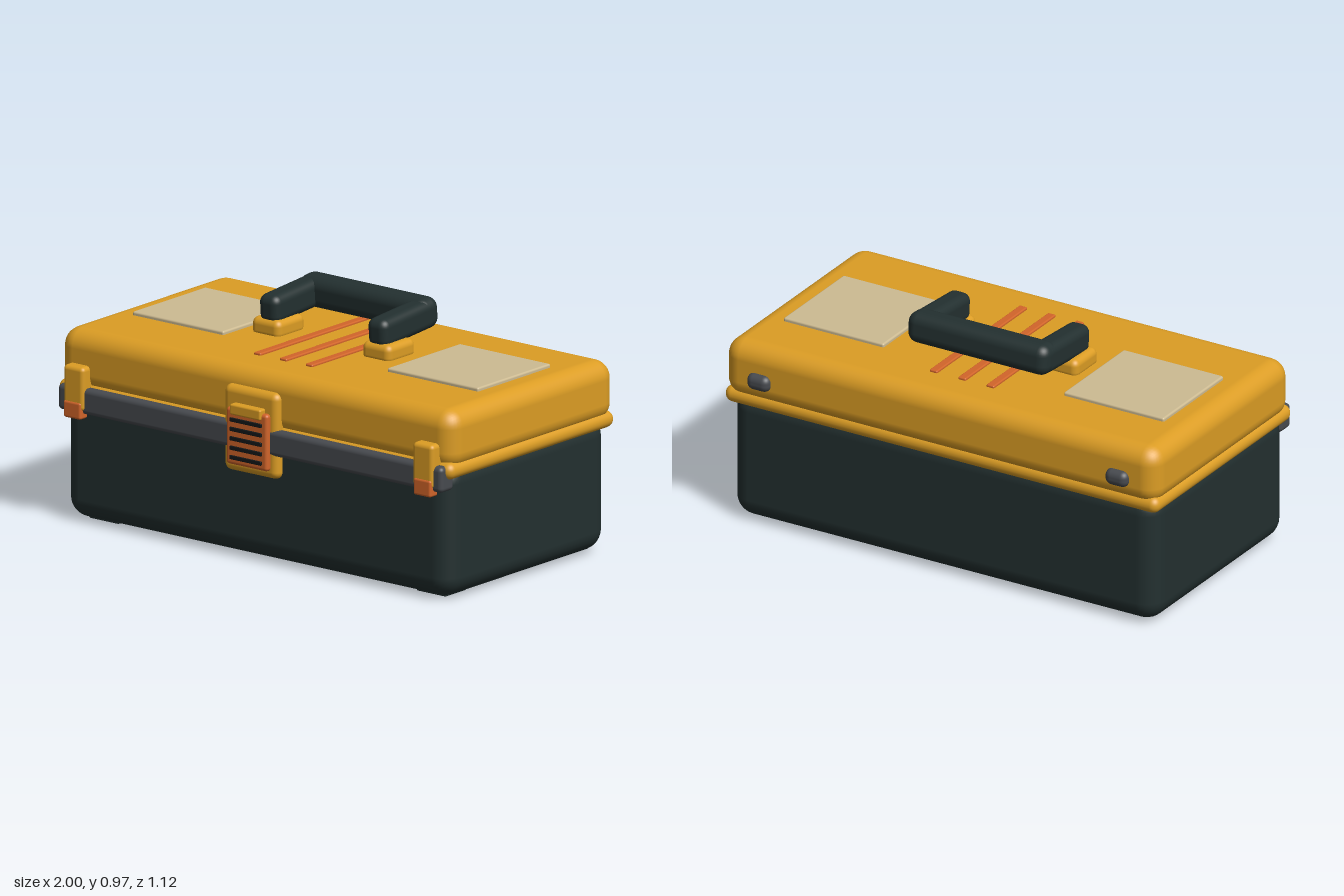
import * as THREE from 'three';
import { RoundedBoxGeometry } from 'three/addons/geometries/RoundedBoxGeometry.js';

const mat = (name, color) => {
  const m = new THREE.MeshStandardMaterial({ color });
  m.name = name;
  return m;
};

export function createModel() {
  const yellow = mat('yellow plastic', 0xdc9d24);
  const dark = mat('dark green plastic', 0x233030);
  const grey = mat('grey plastic', 0x474a4f);
  const orange = mat('orange plastic', 0xd2652a);
  const beige = mat('beige panel', 0xcdbb92);
  const black = mat('black slot', 0x141819);

  const model = new THREE.Group();
  model.name = 'toolbox';

  // Rounded block given by its [min, max] extents along each axis
  const block = (name, material, [x0, x1], [y0, y1], [z0, z1], radius, parent = model) => {
    const geometry = new RoundedBoxGeometry(x1 - x0, y1 - y0, z1 - z0, 4, radius);
    const mesh = new THREE.Mesh(geometry, material);
    mesh.name = name;
    mesh.position.set((x0 + x1) / 2, (y0 + y1) / 2, (z0 + z1) / 2);
    parent.add(mesh);
    return mesh;
  };
  // Extents along x centred on c
  const around = (c, width) => [c - width / 2, c + width / 2];

  // Case
  block('body', dark, [-0.98, 0.98], [0.008, 0.56], [-0.51, 0.495], 0.085);
  block('rim', yellow, [-1, 1], [0.505, 0.574], [-0.528, 0.508], 0.034);
  block('lid', yellow, [-1, 1], [0.535, 0.783], [-0.534, 0.501], 0.075);
  block('frontBand', grey, [-0.975, 0.975], [0.457, 0.563], [0.45, 0.534], 0.02);

  // Lid top: orange ribs and pale panels
  for (const x of [-0.131, 0, 0.131]) {
    block('lidRib', orange, around(x, 0.036), [0.765, 0.793], [-0.36, 0.323], 0.006);
  }

  // Paired parts
  for (const side of [-1, 1]) {
    block('lidPanel', beige, around(side * 0.646, 0.462), [0.76, 0.798], [-0.27, 0.184], 0.008);
    block('foot', dark, around(side * 0.83, 0.15), [0, 0.03], [0.29, 0.42], 0.006);
    block('hinge', grey, around(side * 0.826, 0.104), [0.603, 0.672], [-0.562, -0.48], 0.03);
    block('cornerClip', yellow, around(side * 0.886, 0.104), [0.47, 0.65], [0.46, 0.545], 0.018);
    block('clipTab', orange, around(side * 0.888, 0.088), [0.437, 0.507], [0.5, 0.55], 0.01);
  }

  // Centre latch with slotted grip
  block('latchPlate', yellow, [-0.138, 0.138], [0.36, 0.712], [0.44, 0.53], 0.03);
  block('latchGrip', orange, [-0.105, 0.105], [0.395, 0.628], [0.5, 0.552], 0.014);
  block('latchHook', yellow, [-0.078, 0.078], [0.602, 0.646], [0.52, 0.562], 0.008);
  for (let i = 0; i < 5; i++) {
    block('latchSlot', black, [-0.08, 0.08], around(0.427 + i * 0.0385, 0.017), [0.551, 0.559], 0.003);
  }

  // Carrying handle, tipped slightly up at the back
  const offset = -0.018;
  const handle = new THREE.Group();
  handle.name = 'handle';
  handle.position.set(offset, 0.894, -0.113);
  handle.rotation.x = 0.075;
  model.add(handle);
  block('handleBar', dark, [-0.325, 0.325], [-0.065, 0.065], [-0.178, -0.062], 0.045, handle);
  for (const side of [-1, 1]) {
    block('handleArm', dark, around(side * 0.275, 0.1), [-0.061, 0.058], [-0.15, 0.178], 0.035, handle);
    block('handleMount', yellow, around(offset + side * 0.28, 0.144), [0.765, 0.845], [-0.1, 0.073], 0.028);
  }

  return model;
}
